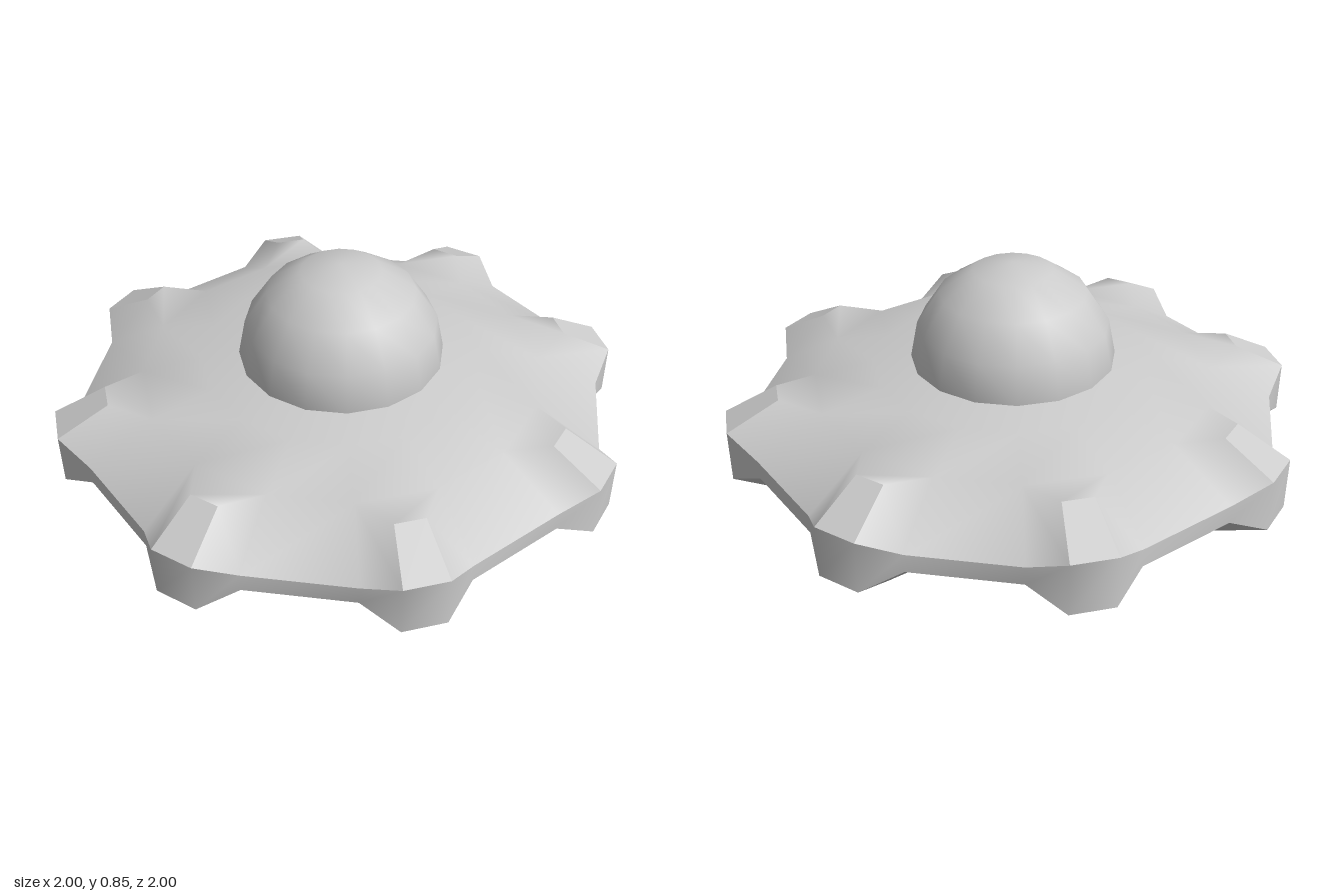
import * as THREE from 'three';
import { mergeVertices } from 'three/addons/utils/BufferGeometryUtils.js';

const MID = 0.267;          // height of the saucer's mid plane
const SEG = 16;             // sides of the saucer
const STEP = 360 / SEG;

// saucer half profile: radius, height above the mid plane
const PROFILE = [[0, 0.267], [0.245, 0.25], [0.49, 0.211], [0.7, 0.16], [0.93, 0.032]];

// point from radius, angle (degrees, from +z towards +x) and height off the mid plane
function pt(r, deg, h) {
  const a = THREE.MathUtils.degToRad(deg);
  return [r * Math.sin(a), MID + h, r * Math.cos(a)];
}

// adds a quad, reversed for the underside
function quad(out, [a, b, c, d], flip = false) {
  const tris = flip ? [a, c, b, a, d, c] : [a, b, c, a, c, d];
  for (const p of tris) out.push(...p);
}

function smoothMesh(name, positions, material) {
  let g = new THREE.BufferGeometry();
  g.setAttribute('position', new THREE.Float32BufferAttribute(positions, 3));
  g = mergeVertices(g, 1e-4);
  g.computeVertexNormals();
  const mesh = new THREE.Mesh(g, material);
  mesh.name = name;
  return mesh;
}

export function createModel() {
  const group = new THREE.Group();
  group.name = 'flyingSaucer';
  const material = new THREE.MeshStandardMaterial({ color: 0xcccccc });

  // upper and lower shells, every second outer panel raised into a lug
  for (const side of [1, -1]) {
    const shell = [], caps = [];
    const flip = side < 0;
    for (let i = 0; i < SEG; i++) {
      const a0 = i * STEP, a1 = a0 + STEP;
      for (let k = 0; k < PROFILE.length - 1; k++) {
        const [ri, hi] = PROFILE[k], [ro, ho] = PROFILE[k + 1];
        const base = [pt(ro, a0, side * ho), pt(ro, a1, side * ho), pt(ri, a1, side * hi), pt(ri, a0, side * hi)];
        if (k === 0) {
          const [a, b, c] = base;
          shell.push(...(flip ? [a, c, b] : [a, b, c]).flat());
        } else if (k === PROFILE.length - 2 && i % 2 === 0) {
          const top = [
            pt(1.007, a0 + 7, side * 0.092), pt(1.007, a0 + 15.5, side * 0.092),
            pt(0.826, a0 + 14.8, side * 0.183), pt(0.826, a0 + 7.7, side * 0.183),
          ];
          quad(caps, top, flip);
          // flanks and inner slope; the outer side belongs to the rim
          for (let e = 1; e < 4; e++) {
            const n = (e + 1) % 4;
            quad(shell, [base[e], base[n], top[n], top[e]], flip);
          }
        } else {
          quad(shell, base, flip);
        }
      }
    }
    const prefix = flip ? 'lower' : 'upper';
    group.add(smoothMesh(prefix + 'Shell', shell, material));
    group.add(smoothMesh(prefix + 'LugFaces', caps, material));
  }

  // rim band, widening and stepping outward at each lug
  const outline = [[0, 0.93, 0.032], [7, 1.007, 0.092], [15.5, 1.007, 0.092], [22.5, 0.93, 0.032]];
  const ring = [];
  for (let i = 0; i < SEG / 2; i++) {
    for (const [a, r, h] of outline) ring.push([a + i * 2 * STEP, r, h]);
  }
  const rim = [];
  ring.forEach(([a0, r0, h0], i) => {
    const [a1, r1, h1] = ring[(i + 1) % ring.length];
    quad(rim, [pt(r0, a0, -h0), pt(r1, a1, -h1), pt(r1, a1, h1), pt(r0, a0, h0)]);
  });
  group.add(smoothMesh('rim', rim, material));

  // cockpit dome
  const dome = new THREE.Mesh(
    new THREE.SphereGeometry(0.36, SEG, 4, 0, Math.PI * 2, 0, Math.PI / 2), material);
  dome.name = 'dome';
  dome.position.y = 0.49;
  group.add(dome);

  return group;
}
